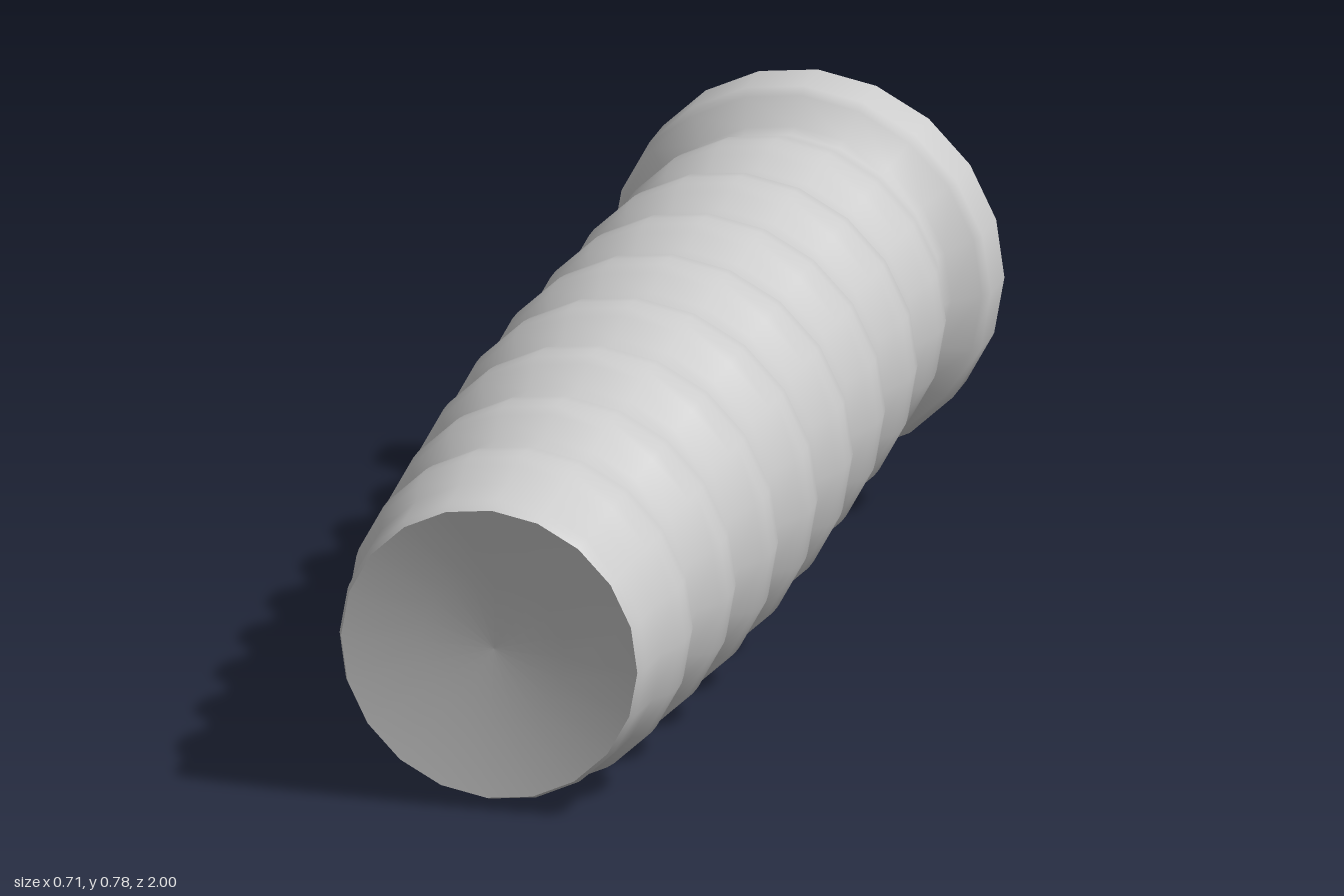
import * as THREE from 'three';

const SIDES = 20;
const grey = new THREE.MeshStandardMaterial({ color: 0xcccccc });
grey.name = 'plain grey';

// Profiles are [radius, position along the hose axis], back to front.
function lathe(name, profile) {
  const points = profile.map(([r, s]) => new THREE.Vector2(r, s));
  const mesh = new THREE.Mesh(new THREE.LatheGeometry(points, SIDES), grey);
  mesh.name = name;
  return mesh;
}

export function createModel() {
  const hose = new THREE.Group();
  hose.name = 'corrugatedHose';

  // Flared collar and neck at the back
  const body = [
    [0.325, -0.975], [0.337, -0.955], [0.337, -0.875], [0.325, -0.86],
    [0.283, -0.822], [0.276, -0.8],
  ];

  // Eight rounded ridges, widest around the middle
  const crests = [0.304, 0.317, 0.323, 0.329, 0.33, 0.323, 0.311, 0.298];
  crests.forEach((r, i) => {
    const s = -0.69 + i * 0.212;
    const before = i ? (r + crests[i - 1]) / 2 - 0.027 : 0.279;
    body.push([before, s - 0.084], [r - 0.005, s - 0.045], [r, s - 0.015],
      [r, s + 0.015], [r - 0.005, s + 0.045]);
    const after = i < 7 ? (r + crests[i + 1]) / 2 - 0.027 : 0.276;
    body.push([after, s + 0.084]);
  });

  // Plain cuff with a small bevel at the front
  body.push([0.272, 0.945], [0.27, 0.962], [0.263, 0.977]);
  hose.add(lathe('hoseBody', body));

  // Shallow dished end faces
  hose.add(lathe('backEnd', [[0, -0.945], [0.16, -0.952], [0.325, -0.975]]));
  hose.add(lathe('frontEnd', [[0.263, 0.977], [0.13, 0.956], [0, 0.949]]));

  // Lay the hose down along z, sloping gently towards the front
  const axis = new THREE.Vector3(0.042, -0.082, 1).normalize();
  hose.quaternion.setFromUnitVectors(new THREE.Vector3(0, 1, 0), axis);
  hose.position.set(0.018, 0.366, 0);

  const model = new THREE.Group();
  model.name = 'hoseModel';
  model.add(hose);
  return model;
}
